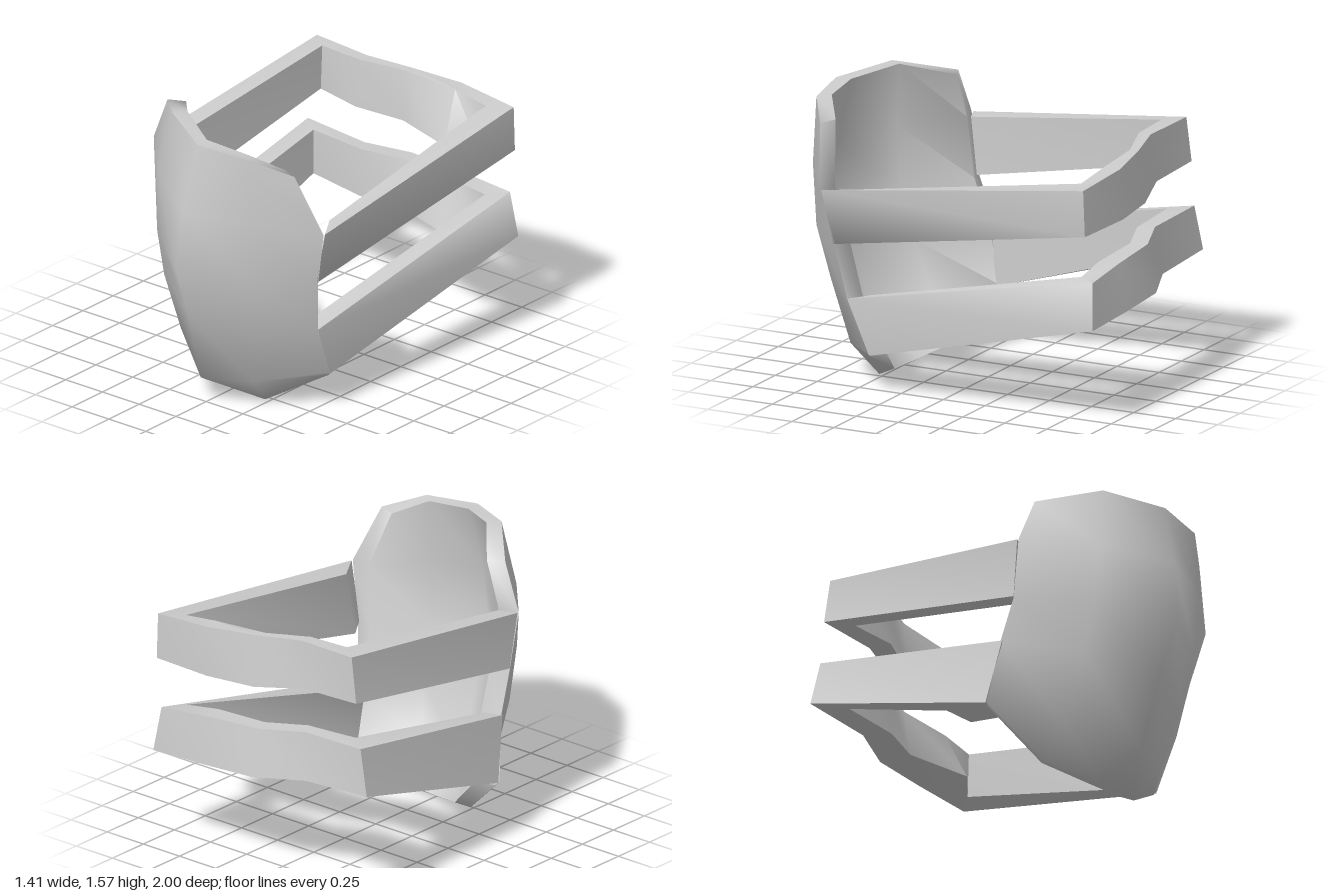
import * as THREE from 'three';
import { toCreasedNormals } from 'three/addons/utils/BufferGeometryUtils.js';

const steel = new THREE.MeshStandardMaterial({ color: 0xcccccc });
steel.name = 'light grey';

// Collects quads given as four corners, counter-clockwise from outside
function quadMesh(name, quads, crease) {
  const positions = [];
  for (const [a, b, c, d] of quads) positions.push(...a, ...b, ...c, ...a, ...c, ...d);
  const geometry = new THREE.BufferGeometry();
  geometry.setAttribute('position', new THREE.Float32BufferAttribute(positions, 3));
  const mesh = new THREE.Mesh(toCreasedNormals(geometry, crease), steel);
  mesh.name = name;
  return mesh;
}

// Curved guard plate: rows run top to bottom, points run from -x to +x
function guardPlate() {
  const outer = [
    [[-0.51, 1.49, 0.45], [-0.26, 1.57, 0.71], [0.05, 1.53, 0.88], [0.36, 1.51, 0.83], [0.56, 1.43, 0.70]],
    [[-0.62, 1.24, 0.43], [-0.33, 1.22, 0.75], [0.02, 1.17, 0.97], [0.38, 1.15, 0.84], [0.70, 1.11, 0.63]],
    [[-0.60, 0.92, 0.38], [-0.35, 0.88, 0.73], [0.00, 0.84, 1.00], [0.36, 0.81, 0.83], [0.62, 0.78, 0.58]],
    [[-0.61, 0.69, 0.30], [-0.36, 0.60, 0.66], [-0.01, 0.55, 0.89], [0.33, 0.52, 0.76], [0.58, 0.50, 0.53]],
    [[-0.65, 0.34, 0.24], [-0.36, 0.24, 0.52], [-0.02, 0.14, 0.77], [0.26, 0.16, 0.68], [0.56, 0.21, 0.41]],
    [[-0.63, 0.32, 0.23], [-0.34, 0.07, 0.37], [-0.04, 0.01, 0.51], [0.22, 0.00, 0.53], [0.55, 0.19, 0.40]],
  ];
  // Inner skin: drawn inward at the sides, backward in the middle
  const inner = outer.map((row) => row.map(([x, y, z]) =>
    [x * 0.82, y + (y < 0.1 ? 0.03 : 0), z - 0.02 - 0.07 * (1 - Math.abs(x) / 0.75)]));
  const rows = outer.length - 1, cols = outer[0].length - 1;
  const quads = [];
  for (let r = 0; r < rows; r++) for (let c = 0; c < cols; c++) {
    const cell = (g) => [g[r][c], g[r + 1][c], g[r + 1][c + 1], g[r][c + 1]];
    quads.push(cell(outer), cell(inner).reverse());
  }
  // Rim joining both skins
  const rim = [];
  for (let c = 0; c < cols; c++) rim.push([0, c]);
  for (let r = 0; r < rows; r++) rim.push([r, cols]);
  for (let c = cols; c > 0; c--) rim.push([rows, c]);
  for (let r = rows; r > 0; r--) rim.push([r, 0]);
  rim.forEach(([r, c], i) => {
    const [s, d] = rim[(i + 1) % rim.length];
    quads.push([outer[r][c], outer[s][d], inner[s][d], inner[r][c]]);
  });
  return quadMesh('guardPlate', quads, 1.25);
}

// Strap: each station holds outer top xyz, outer bottom xyz, inner top xz, inner bottom xz
function strap(name, stations) {
  const loops = stations.map(([ax, ay, az, bx, by, bz, cx, cz, dx, dz]) =>
    [[ax, ay, az], [bx, by, bz], [dx, by, dz], [cx, ay, cz]]);
  const quads = [[...loops[0]].reverse(), loops[loops.length - 1]];
  for (let i = 0; i < loops.length - 1; i++) for (let j = 0; j < 4; j++) {
    const k = (j + 1) % 4;
    quads.push([loops[i][j], loops[i][k], loops[i + 1][k], loops[i + 1][j]]);
  }
  return quadMesh(name, quads, 1.1);
}

export function createModel() {
  const group = new THREE.Group();
  group.name = 'strappedGuard';
  group.add(
    guardPlate(),
    strap('upperStrap', [
      [0.70, 1.11, 0.62, 0.62, 0.80, 0.59, 0.60, 0.46, 0.52, 0.44],
      [0.70, 1.31, -0.94, 0.70, 1.06, -0.95, 0.575, -0.86, 0.56, -0.83],
      [0.33, 1.34, -0.96, 0.33, 1.07, -0.98, 0.36, -0.87, 0.39, -0.74],
      [0.03, 1.36, -0.91, 0.03, 1.08, -0.95, 0.03, -0.86, 0.03, -0.84],
      [-0.22, 1.38, -0.85, -0.25, 1.12, -0.87, -0.22, -0.78, -0.22, -0.75],
      [-0.58, 1.39, -0.87, -0.62, 1.14, -0.88, -0.47, -0.78, -0.48, -0.78],
      [-0.62, 1.24, 0.42, -0.60, 0.93, 0.38, -0.52, 0.38, -0.51, 0.34],
    ]),
    strap('lowerStrap', [
      [0.58, 0.50, 0.53, 0.56, 0.20, 0.41, 0.46, 0.45, 0.44, 0.36],
      [0.65, 0.80, -0.97, 0.69, 0.55, -0.99, 0.57, -0.86, 0.56, -0.86],
      [0.33, 0.83, -0.96, 0.33, 0.57, -1.00, 0.36, -0.85, 0.39, -0.73],
      [0.00, 0.85, -0.95, 0.00, 0.59, -1.00, 0.03, -0.86, 0.03, -0.82],
      [-0.25, 0.87, -0.86, -0.28, 0.61, -0.89, -0.20, -0.78, -0.20, -0.76],
      [-0.65, 0.89, -0.88, -0.71, 0.64, -0.90, -0.53, -0.78, -0.53, -0.78],
      [-0.61, 0.69, 0.31, -0.65, 0.34, 0.23, -0.52, 0.28, -0.51, 0.22],
    ]),
  );
  return group;
}
